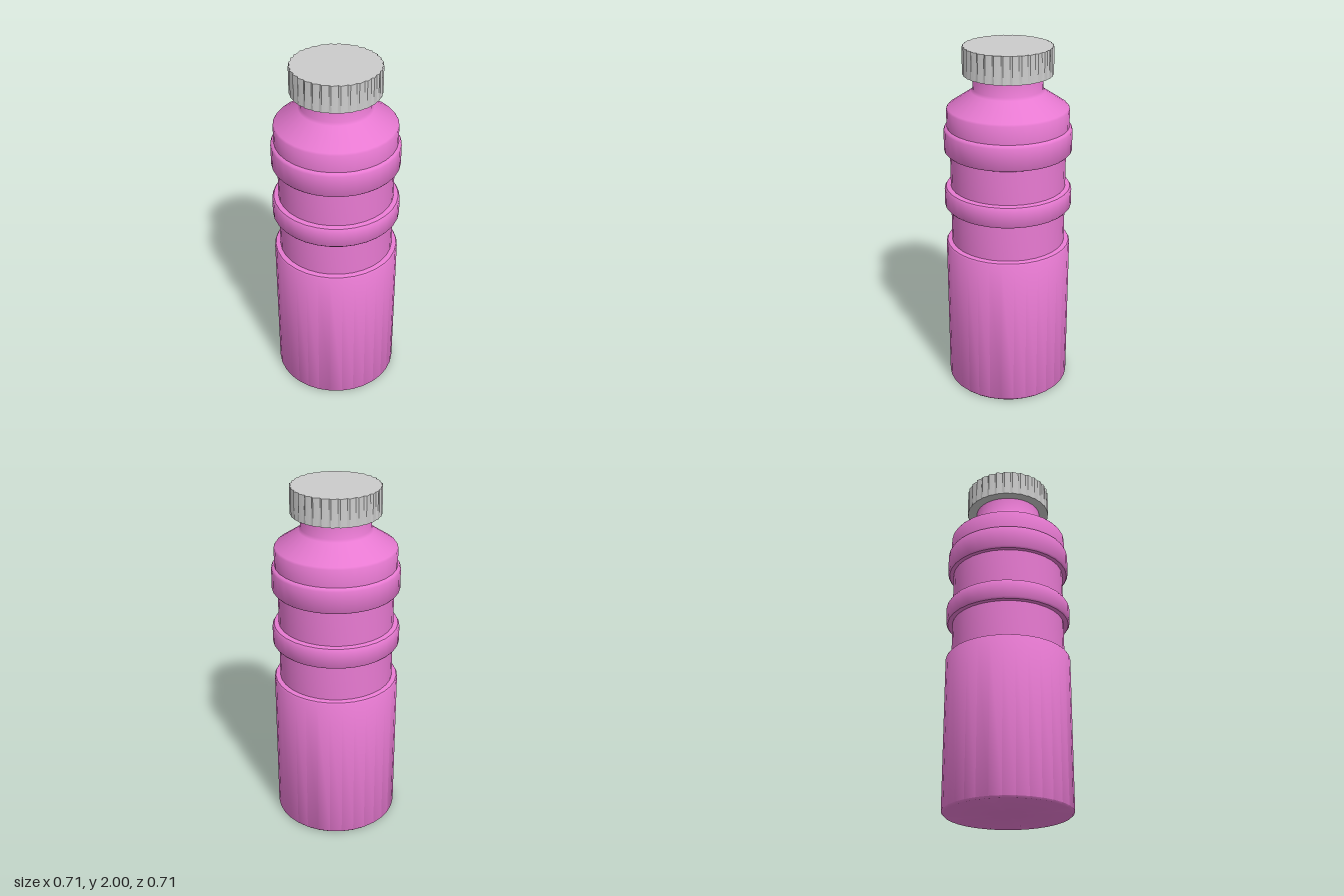
import * as THREE from 'three';
import { toCreasedNormals } from 'three/addons/utils/BufferGeometryUtils.js';

const SIDES = 32;

// Turned bottle body: base, two grip rings, shoulder and neck
function makeBody() {
  const profile = [
    [0, 0], [0.342, 0], [0.352, 0.01],
    [0.352, 0.875], [0.346, 0.885], [0.32, 0.89],        // lower barrel
    [0.32, 1.1], [0.347, 1.1], [0.355, 1.11],            // lower waist
    [0.355, 1.2], [0.346, 1.215], [0.32, 1.22],          // middle ring
    [0.32, 1.42], [0.344, 1.42], [0.352, 1.43],          // upper waist
    [0.352, 1.545], [0.346, 1.557], [0.335, 1.562],      // upper ring
    [0.335, 1.66], [0.328, 1.67],                        // shoulder
    [0.2, 1.755], [0.19, 1.77], [0.19, 1.87], [0, 1.87], // neck
  ].map(([r, y]) => new THREE.Vector2(r, y));
  const geometry = toCreasedNormals(new THREE.LatheGeometry(profile, SIDES), 0.8);
  const body = new THREE.Mesh(geometry, new THREE.MeshStandardMaterial({ color: 0xe87ad2 }));
  body.name = 'bottleBody';
  return body;
}

// Screw cap with saw-tooth grip grooves that run out towards the lower rim
function makeCap() {
  const steps = 4, radius = 0.245, height = 0.15;
  const geometry = new THREE.CylinderGeometry(radius, radius, height, SIDES * steps);
  const p = geometry.attributes.position;
  for (let i = 0; i < p.count; i++) {
    const x = p.getX(i), z = p.getZ(i);
    if (Math.hypot(x, z) < 0.1) continue;
    const index = Math.round(Math.atan2(x, z) / (2 * Math.PI) * SIDES * steps);
    const tooth = ((index % steps) + steps) % steps / (steps - 1);
    const depth = p.getY(i) > 0 ? 0.009 : 0.004;
    const scale = 1 - depth * tooth / radius;
    p.setX(i, x * scale);
    p.setZ(i, z * scale);
  }
  const cap = new THREE.Mesh(
    toCreasedNormals(geometry, 0.4),
    new THREE.MeshStandardMaterial({ color: 0xcccccc }),
  );
  cap.position.y = 2 - height / 2;
  cap.name = 'screwCap';
  return cap;
}

export function createModel() {
  const bottle = new THREE.Group();
  bottle.name = 'bottle';
  bottle.add(makeBody(), makeCap());
  return bottle;
}
